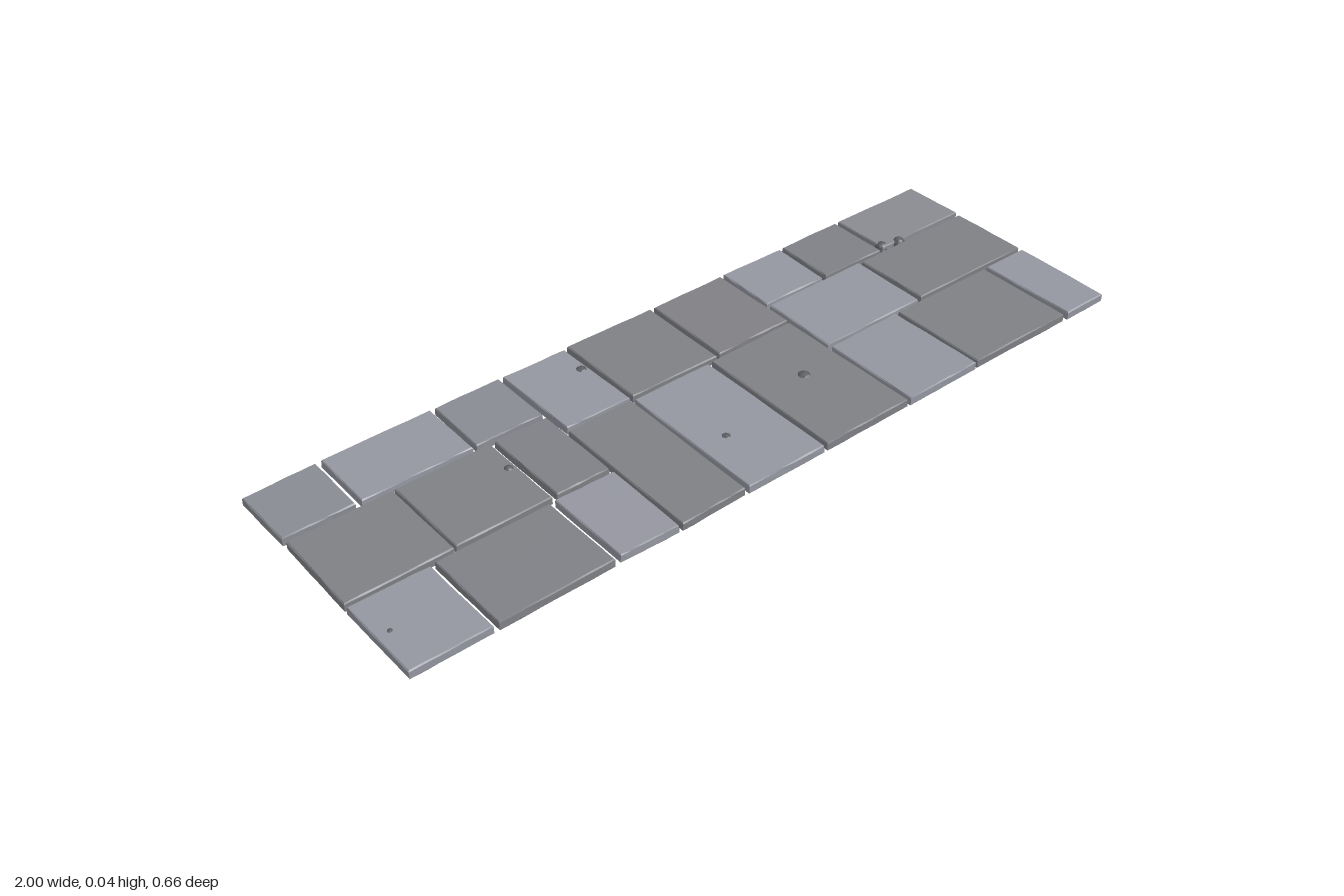
import * as THREE from 'three';

const stone = (color) => new THREE.MeshStandardMaterial({ color, flatShading: true });
// slate tones: light, medium, dark
const TONES = { L: stone(0x9496a0), M: stone(0x898b92), D: stone(0x7f8085) };
const pebbleMaterial = stone(0x5c5d61);

// small seeded generator for the chipped outlines
let seed = 7;
const rand = () => {
  seed = (seed * 16807) % 2147483647;
  return seed / 2147483647;
};

// rows of slabs: back z, front z, [left x, right x] of every slab, tone of every slab
const ROWS = [
  { z: [-0.332, -0.155], x: [[-1, -0.82], [-0.812, -0.525], [-0.52, -0.34]], tones: 'MLM' },
  { z: [-0.147, 0.092], x: [[-1, -0.738], [-0.737, -0.489], [-0.482, -0.34]], tones: 'DDD' },
  { z: [0.098, 0.332], x: [[-1, -0.803], [-0.796, -0.506], [-0.497, -0.338]], tones: 'LDL' },
  { z: [-0.332, -0.076], x: [[-0.334, -0.153], [-0.149, 0.106], [0.111, 0.329]], tones: 'LDD' },
  { z: [-0.072, 0.332], x: [[-0.334, -0.156], [-0.152, 0.071], [0.076, 0.328]], tones: 'DLD' },
  { z: [-0.332, -0.162], x: [[0.334, 0.523], [0.529, 0.721], [0.727, 1]], tones: 'LDM' },
  { z: [-0.155, 0.057], x: [[0.334, 0.638], [0.643, 1]], tones: 'LD' },
  { z: [0.063, 0.332], x: [[0.334, 0.55], [0.554, 0.861], [0.867, 1]], tones: 'LDL' },
];

// one stone: stacked outlines with worn edges, closed by a top and bottom fan
function slabGeometry(x0, x1, z0, z1) {
  const skew = () => rand() * 0.004;
  const corners = [
    [x0 + skew(), z0 + skew()], [x1 - skew(), z0 + skew()],
    [x1 - skew(), z1 - skew()], [x0 + skew(), z1 - skew()],
  ];
  const cx = (x0 + x1) / 2, cz = (z0 + z1) / 2;
  const perSide = 5, n = perSide * 4;
  const outline = [];
  for (let s = 0; s < 4; s++) {
    const a = corners[s], b = corners[(s + 1) % 4];
    for (let k = 0; k < perSide; k++) {
      const t = k / perSide;
      outline.push([a[0] + (b[0] - a[0]) * t, a[1] + (b[1] - a[1]) * t]);
    }
  }
  // each layer: height, inset from the outline, chipping
  const layers = [[0.0072, 0.002, 0.002], [0.01, 0, 0.001], [0.0275, 0, 0.0015], [0.0305, 0.002, 0.002]];
  const tiltX = (rand() - 0.5) * 0.005, tiltZ = (rand() - 0.5) * 0.005;
  const pos = [], index = [];
  for (const [y, inset, chip] of layers) {
    for (const [x, z] of outline) {
      const kx = 1 - 2 * (inset + rand() * chip) / (x1 - x0);
      const kz = 1 - 2 * (inset + rand() * chip) / (z1 - z0);
      const u = (x - cx) / (x1 - x0), v = (z - cz) / (z1 - z0);
      pos.push(cx + (x - cx) * kx, y + u * tiltX + v * tiltZ, cz + (z - cz) * kz);
    }
  }
  for (let i = 0; i < layers.length - 1; i++) {
    for (let j = 0; j < n; j++) {
      const k = (j + 1) % n;
      const a = i * n + j, b = i * n + k, c = b + n, d = a + n;
      index.push(a, c, b, a, d, c);
    }
  }
  const bottom = pos.length / 3, top = bottom + 1, last = (layers.length - 1) * n;
  pos.push(cx, 0.0072, cz, cx, 0.0305, cz);
  for (let j = 0; j < n; j++) {
    const k = (j + 1) % n;
    index.push(bottom, j, k, top, last + k, last + j);
  }
  const g = new THREE.BufferGeometry();
  g.setAttribute('position', new THREE.Float32BufferAttribute(pos, 3));
  g.setIndex(index);
  g.computeVertexNormals();
  return g;
}

// stone knots showing through the paving: x, z, radius, half height
const PEBBLES = [
  [0.21, 0.108, 0.021, 0.0175], [-0.075, 0.166, 0.017, 0.015], [-0.172, -0.239, 0.018, 0.0155],
  [-0.508, -0.05, 0.015, 0.0155], [-0.968, 0.212, 0.013, 0.014], [0.742, -0.182, 0.017, 0.0155],
  [0.788, -0.167, 0.018, 0.0185],
];

export function createModel() {
  const model = new THREE.Group();
  model.name = 'stonePaving';

  // paving slabs
  const slabs = new THREE.Group();
  slabs.name = 'slabs';
  for (const row of ROWS) {
    row.x.forEach(([x0, x1], i) => {
      const slab = new THREE.Mesh(slabGeometry(x0, x1, ...row.z), TONES[row.tones[i]]);
      slab.name = 'slab';
      slabs.add(slab);
    });
  }
  model.add(slabs);

  // pebbles
  const pebbles = new THREE.Group();
  pebbles.name = 'pebbles';
  PEBBLES.forEach(([x, z, r, h], i) => {
    const pebble = new THREE.Mesh(new THREE.IcosahedronGeometry(1, 1), pebbleMaterial);
    pebble.name = 'pebble';
    pebble.scale.set(r, h, r);
    pebble.rotation.y = i;
    pebble.position.set(x, 0.0192, z);
    pebbles.add(pebble);
  });
  model.add(pebbles);
  return model;
}
